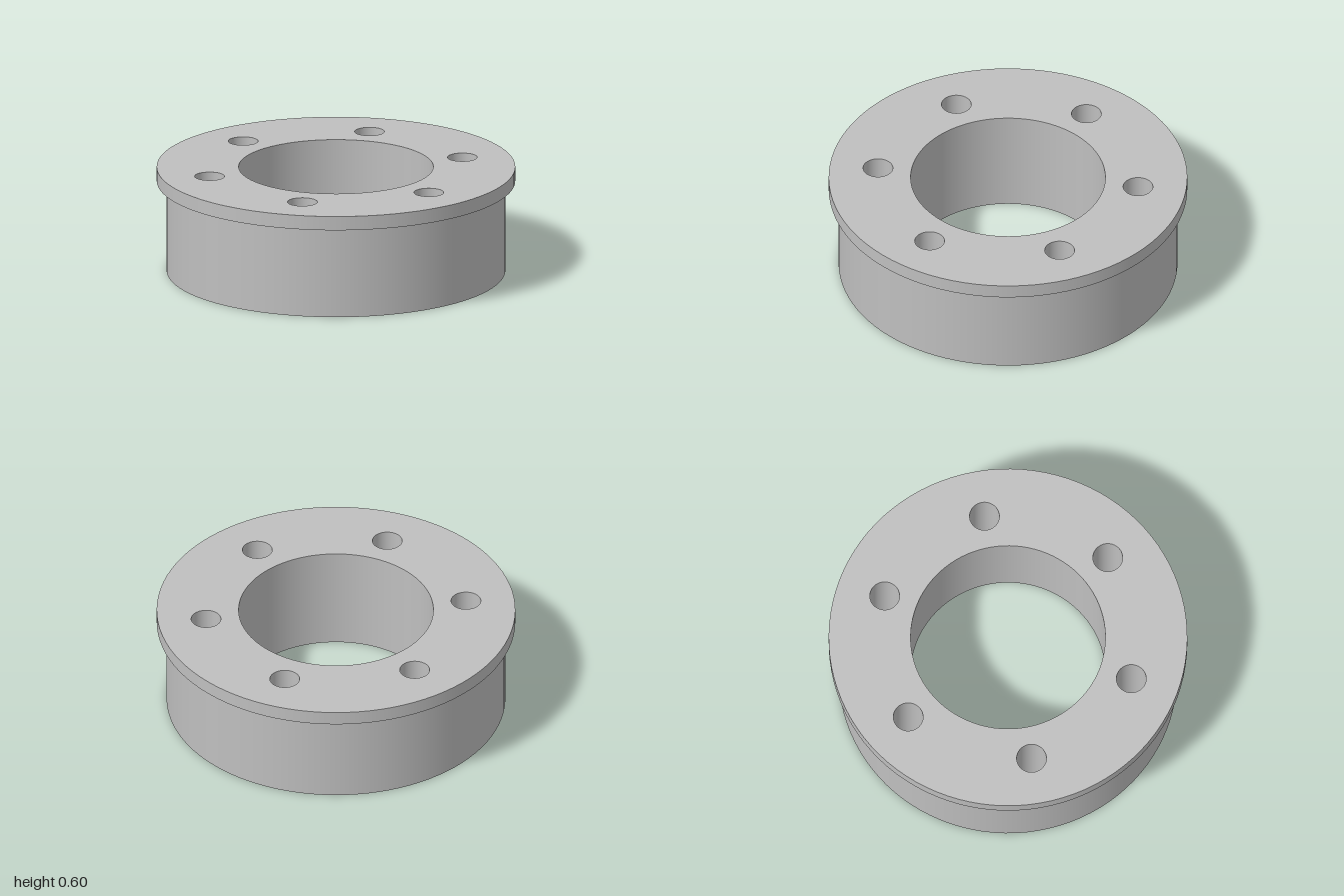
import * as THREE from 'three';

const SEGMENTS = 96;
const HEIGHT = 0.6, FLANGE_Y = 0.52;
const FLANGE_R = 1, BODY_R = 0.945, BORE_R = 0.543;
const HOLE_R = 0.083, HOLE_CIRCLE_R = 0.73, HOLE_COUNT = 6;

export function createModel() {
  const group = new THREE.Group();
  const steel = new THREE.MeshStandardMaterial({ color: 0xbfbfbf });

  const add = (name, geometry) => {
    const mesh = new THREE.Mesh(geometry, steel);
    mesh.name = name;
    group.add(mesh);
    return mesh;
  };

  // Surface swept round y by one straight line: upward faces out, downward faces in
  const sweep = (name, r0, y0, r1, y1) => add(name, new THREE.LatheGeometry(
    [new THREE.Vector2(r0, y0), new THREE.Vector2(r1, y1)], SEGMENTS));

  // Bolt hole centres, starting on the z axis
  const centres = Array.from({ length: HOLE_COUNT }, (_, i) => {
    const a = Math.PI / 2 + (i * Math.PI * 2) / HOLE_COUNT;
    return [HOLE_CIRCLE_R * Math.cos(a), HOLE_CIRCLE_R * Math.sin(a)];
  });

  // Flat ring pierced by the bore and the bolt holes
  const face = (radius) => {
    const shape = new THREE.Shape().absarc(0, 0, radius, 0, Math.PI * 2);
    const cut = (x, y, r) => shape.holes.push(new THREE.Path().absarc(x, y, r, 0, Math.PI * 2, true));
    cut(0, 0, BORE_R);
    centres.forEach(([x, y]) => cut(x, y, HOLE_R));
    return new THREE.ShapeGeometry(shape, SEGMENTS / 2);
  };
  add('topFace', face(FLANGE_R).rotateX(-Math.PI / 2).translate(0, HEIGHT, 0));
  add('bottomFace', face(BODY_R).rotateX(Math.PI / 2));

  // Outer walls and the step under the flange
  sweep('bodyWall', BODY_R, 0, BODY_R, FLANGE_Y);
  sweep('flangeUnderside', BODY_R, FLANGE_Y, FLANGE_R, FLANGE_Y);
  sweep('flangeRim', FLANGE_R, FLANGE_Y, FLANGE_R, HEIGHT);

  // Bore and bolt hole walls, running right through
  sweep('boreWall', BORE_R, HEIGHT, BORE_R, 0);
  centres.forEach(([x, z], i) => {
    sweep(`boltHole${i + 1}`, HOLE_R, HEIGHT, HOLE_R, 0).position.set(x, 0, z);
  });

  return group;
}
